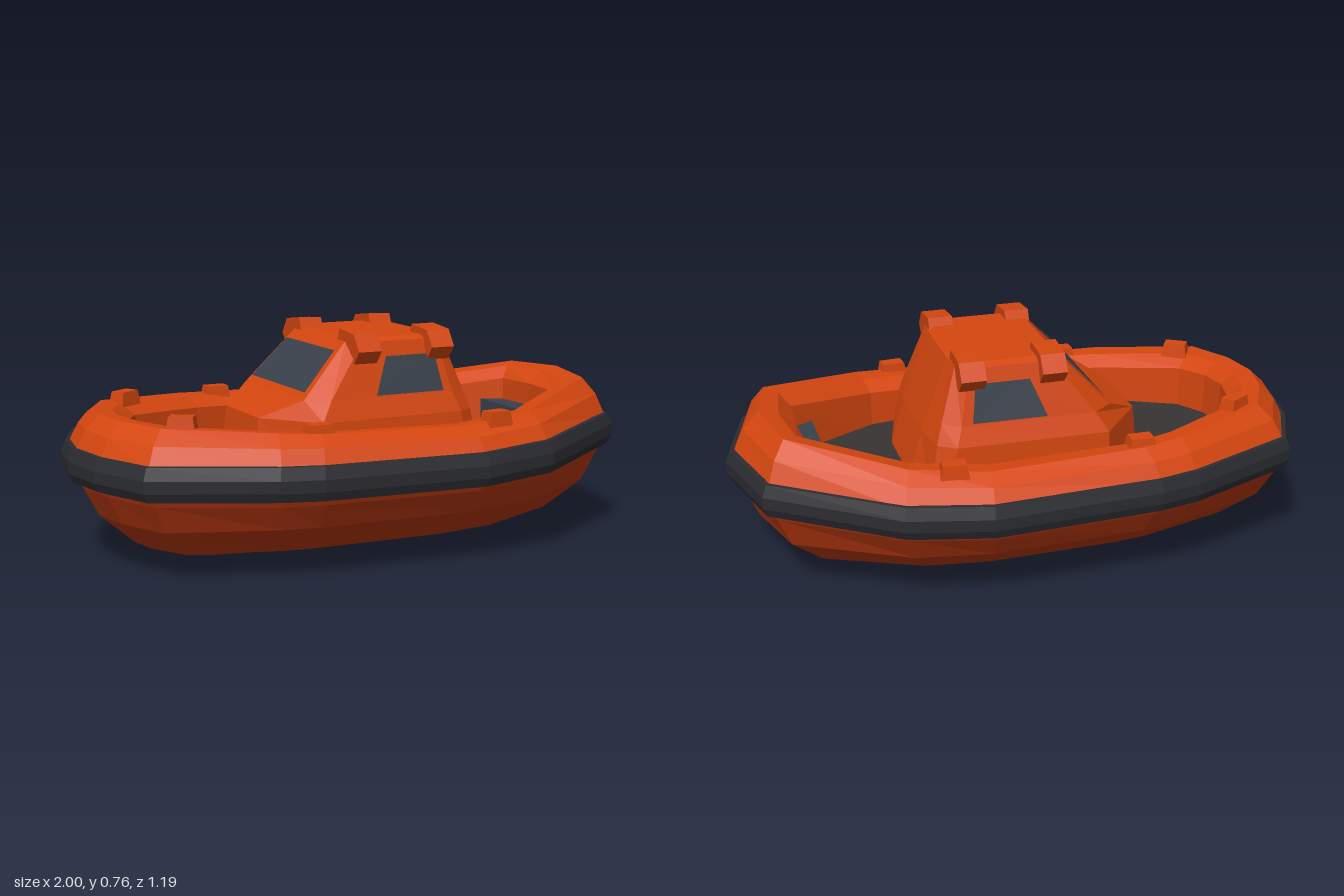
import * as THREE from 'three';

const material = (color) => new THREE.MeshStandardMaterial({ color, flatShading: true, side: THREE.DoubleSide });
const orange = material(0xd4460f);
const hullRed = material(0xb5370f);
const rubber = material(0x2b2c31);
const deckGrey = material(0x383433);
const glass = material(0x3a414b);

// Half outlines [x, z] of the boat, from stern (+x) to bow (-x)
const OUTER = [[1, 0], [0.92, 0.3], [0.51, 0.545], [0.23, 0.595], [-0.35, 0.567], [-0.49, 0.54], [-0.88, 0.385], [-0.97, 0.18], [-1, 0]];
const INNER = [[0.76, 0], [0.75, 0.16], [0.44, 0.33], [0.2, 0.37], [-0.28, 0.37], [-0.42, 0.335], [-0.7, 0.2], [-0.76, 0.1], [-0.78, 0]];

// Closes a half outline by mirroring it in z
function mirrored(half) {
  const back = half.filter((p) => p[1] > 0).map(([x, z]) => [x, -z]).reverse();
  return half.concat(back);
}

// Rise of the gunwale towards both ends
const sheer = (x) => (x > 0 ? 0.17 * Math.max(0, x - 0.35) : 0.06 * Math.max(0, -x - 0.1));

// Scaled outer ring, for the hull and the fender
const hullRing = (sx, sz, y, lift = 0) =>
  mirrored(OUTER).map(([x, z]) => new THREE.Vector3(x * sx, y + lift * sheer(x), z * sz));

// Ring part way from the fender to the cockpit opening
function rimRing(t, y, lift) {
  const inner = mirrored(INNER);
  return mirrored(OUTER).map(([x, z], i) => {
    const px = THREE.MathUtils.lerp(x * 0.98, inner[i][0], t);
    const pz = THREE.MathUtils.lerp(z * 0.975, inner[i][1], t);
    return new THREE.Vector3(px, y + lift * sheer(px), pz);
  });
}

// Skins rings from bottom to top, with an optional flat cap on the last one
function loft(rings, cap = false) {
  const n = rings[0].length;
  const index = [];
  for (let r = 0; r < rings.length - 1; r++) {
    for (let i = 0; i < n; i++) {
      const a = r * n + i, b = r * n + (i + 1) % n;
      index.push(a, a + n, b + n, a, b + n, b);
    }
  }
  const last = (rings.length - 1) * n;
  if (cap) for (let i = 1; i < n - 1; i++) index.push(last, last + i + 1, last + i);
  const geometry = new THREE.BufferGeometry().setFromPoints(rings.flat());
  geometry.setIndex(index);
  const flat = geometry.toNonIndexed();
  flat.computeVertexNormals();
  return flat;
}

// Four-cornered panel inside the wall p0 p1 (bottom) p3 p2 (top), pushed out along its normal
function panel(p0, p1, p2, p3, u0, u1, v0, v1, out) {
  const at = (u, v) => p0.clone().lerp(p1, u).lerp(p3.clone().lerp(p2, u), v);
  const c = [at(u0, v0), at(u1, v0), at(u1, v1), at(u0, v1)];
  const normal = c[1].clone().sub(c[0]).cross(c[3].clone().sub(c[0])).normalize();
  c.forEach((p) => p.addScaledVector(normal, out));
  const geometry = new THREE.BufferGeometry().setFromPoints([c[0], c[1], c[2], c[0], c[2], c[3]]);
  geometry.computeVertexNormals();
  return geometry;
}

export function createModel() {
  const model = new THREE.Group();
  model.name = 'rescueBoat';
  const add = (name, geometry, mat, parent = model) => {
    const mesh = new THREE.Mesh(geometry, mat);
    mesh.name = name;
    parent.add(mesh);
    return mesh;
  };

  // Hull with a shallow keel
  add('hull', loft([
    hullRing(0.58, 0, 0.003),
    hullRing(0.61, 0.3, 0.025),
    hullRing(0.78, 0.6, 0.07),
    hullRing(0.9, 0.84, 0.175),
    hullRing(0.95, 0.93, 0.255, 0.3),
    hullRing(0.96, 0.95, 0.28, 0.3),
  ]), hullRed);

  // Rubber fender around the hull
  add('fender', loft([
    hullRing(0.95, 0.94, 0.27, 0.35),
    hullRing(0.985, 0.98, 0.275, 0.35),
    hullRing(1, 1, 0.305, 0.35),
    hullRing(1, 1, 0.345, 0.35),
    hullRing(0.985, 0.975, 0.385, 0.35),
    hullRing(0.94, 0.93, 0.39, 0.35),
  ]), rubber);

  // Faceted gunwale, dropping to the cockpit floor
  add('gunwale', loft([
    rimRing(0.02, 0.375, 0.35),
    rimRing(0.2, 0.43, 0.65),
    rimRing(0.45, 0.463, 1),
    rimRing(0.75, 0.46, 1),
    rimRing(1, 0.425, 1),
    rimRing(1.03, 0.3, 0),
  ]), orange);

  // Cockpit floor
  const floor = add('floor', new THREE.ShapeGeometry(
    new THREE.Shape(mirrored(INNER).map(([x, z]) => new THREE.Vector2(x * 1.03, z * 1.03)))), deckGrey);
  floor.rotation.x = -Math.PI / 2;
  floor.position.y = 0.32;

  // Stern bench
  add('sternBench', new THREE.BoxGeometry(0.08, 0.1, 0.4), glass).position.set(0.715, 0.365, 0);

  // Cabin, rings of [x, z] half outlines from floor to roof
  const cabin = new THREE.Group();
  cabin.name = 'cabin';
  model.add(cabin);
  const ring = (y, half, slope = 0) => mirrored(half).map(([x, z]) => new THREE.Vector3(x, y + slope * x, z));
  const base = ring(0.3, [[0.41, 0.14], [0.37, 0.3], [0.31, 0.335], [-0.24, 0.34], [-0.41, 0.14]]);
  const waist = ring(0.48, [[0.36, 0.14], [0.34, 0.28], [0.28, 0.32], [-0.24, 0.325], [-0.39, 0.14]]);
  const sill = ring(0.545, [[0.335, 0.14], [0.32, 0.26], [0.26, 0.295], [-0.2, 0.3], [-0.27, 0.24]]);
  const roof = ring(0.725, [[0.265, 0.12], [0.26, 0.21], [0.22, 0.245], [-0.06, 0.245], [-0.1, 0.2]]);
  const crown = ring(0.737, [[0.245, 0.12], [0.24, 0.19], [0.2, 0.22], [-0.05, 0.22], [-0.085, 0.18]]);
  add('cabinShell', loft([base, waist, sill, roof, crown], true), orange, cabin);

  // Windscreen and side windows
  add('windscreen', panel(sill[5], sill[4], roof[4], roof[5], 0.04, 0.96, 0.1, 0.82, 0.006), glass, cabin);
  add('leftWindow', panel(sill[3], sill[2], roof[2], roof[3], 0.36, 0.92, 0.03, 0.72, 0.006), glass, cabin);
  add('rightWindow', panel(sill[7], sill[6], roof[6], roof[7], 0.08, 0.64, 0.03, 0.72, 0.006), glass, cabin);

  // Lugs on the four roof corners, profile in [z, y]
  const lugShape = new THREE.Shape([[0.14, 0.72], [0.16, 0.765], [0.265, 0.755], [0.303, 0.7], [0.265, 0.655], [0.23, 0.66]]
    .map(([z, y]) => new THREE.Vector2(z, y)));
  const lugGeometry = new THREE.ExtrudeGeometry(lugShape, { depth: 0.085, bevelEnabled: false });
  lugGeometry.rotateY(-Math.PI / 2);
  for (const x of [-0.015, 0.26]) {
    for (const side of [1, -1]) {
      const lug = add('roofLug', lugGeometry, orange, cabin);
      lug.position.x = side > 0 ? x : x - 0.085;
      if (side < 0) lug.rotation.y = Math.PI;
    }
  }

  // Grab blocks along the gunwale: x, y, z, turn
  const grabGeometry = new THREE.CylinderGeometry(0.05, 0.066, 0.07, 4, 1).rotateY(Math.PI / 4);
  grabGeometry.scale(1.1, 1, 0.72);
  for (const [x, y, z, turn] of [[-0.71, 0.5, 0.275, 0.55], [-0.31, 0.468, 0.435, 0], [0.33, 0.465, 0.465, -0.1]]) {
    for (const side of [1, -1]) {
      const grab = add('grabBlock', grabGeometry, orange);
      grab.position.set(x, y, z * side);
      grab.rotation.y = -turn * side;
    }
  }
  return model;
}
